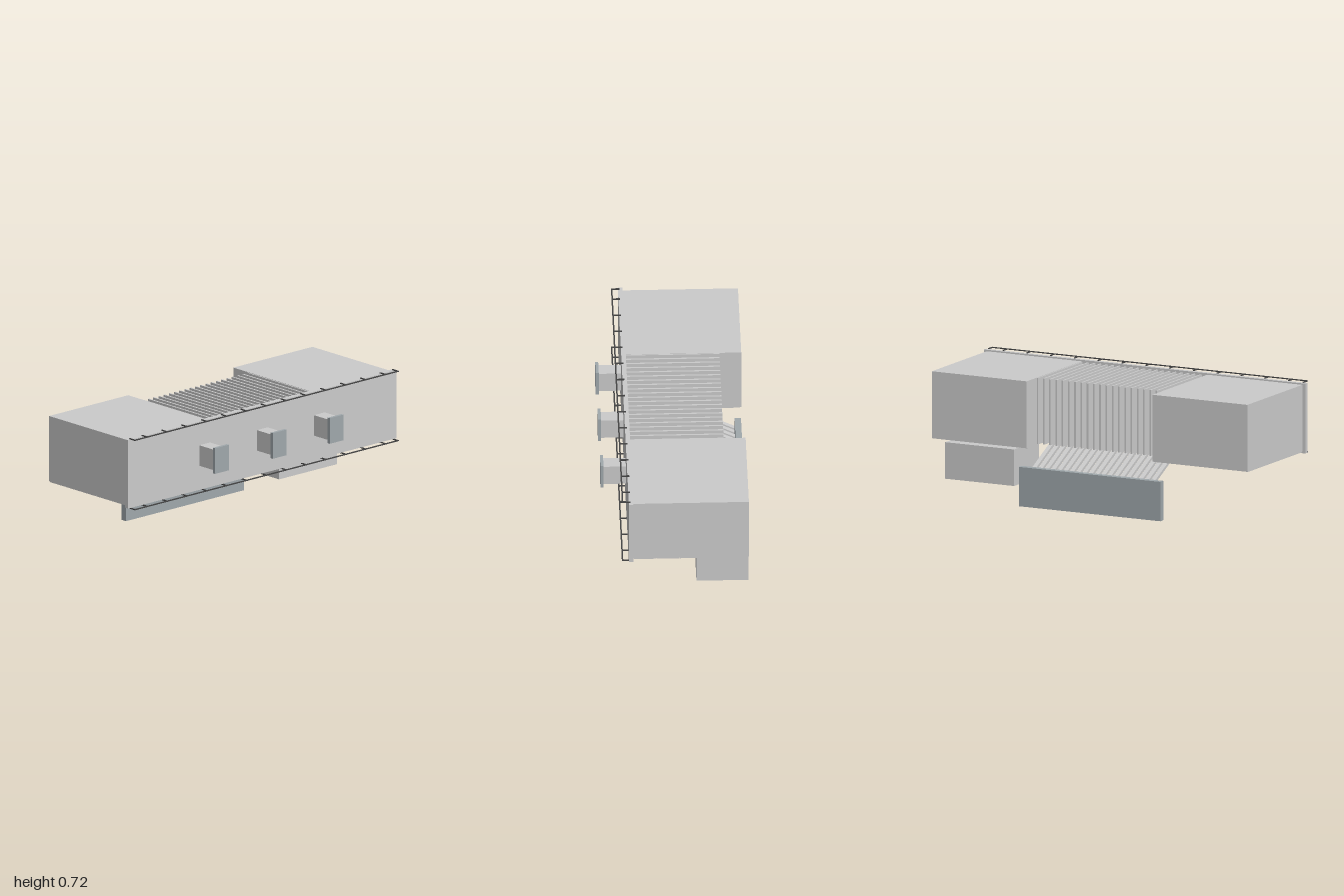
import * as THREE from 'three';

const material = (color) => new THREE.MeshStandardMaterial({ color });

export function createModel() {
  const model = new THREE.Group();
  const grey = material(0xcccccc);
  const steel = material(0xa0a8ac);
  const dark = material(0x444444);
  const green = material(0x6f9a84);

  // Box given by its extents along each axis
  const box = (name, [x0, x1], [y0, y1], [z0, z1], mat = grey, parent = model) => {
    const mesh = new THREE.Mesh(new THREE.BoxGeometry(x1 - x0, y1 - y0, z1 - z0), mat);
    mesh.position.set((x0 + x1) / 2, (y0 + y1) / 2, (z0 + z1) / 2);
    mesh.name = name;
    parent.add(mesh);
    return mesh;
  };
  const group = (name) => {
    const g = new THREE.Group();
    g.name = name;
    model.add(g);
    return g;
  };

  // Long front panel
  box('frontPanel', [-1, 1], [0.32, 0.71], [0.235, 0.26]);

  // Side housings with boards under each
  for (const [side, x0, x1] of [['left', 0.392, 0.982], ['right', -0.982, -0.392]]) {
    box(side + 'Housing', [x0, x1], [0.33, 0.702], [-0.398, 0.235]);
    const boards = group(side + 'FloorBoards');
    for (let i = 0; i < 5; i++) {
      const z = -0.39 + i * 0.125;
      box('floorBoard', [x0, x1], [0.326, 0.33], [z, z + 0.122], grey, boards);
    }
  }

  // Upright fins between the housings
  const fins = group('fins');
  for (let i = 0; i < 21; i++) {
    const x = -0.39 + i * 0.039;
    box('fin', [x - 0.005, x + 0.005], [0.332, 0.7], [-0.278, 0.235], grey, fins);
  }

  // Sloping slats running down to the rear plate
  const slats = group('slopingSlats');
  const slope = new THREE.Shape([
    new THREE.Vector2(0.02, 0.3625), new THREE.Vector2(0.36, 0.1925),
    new THREE.Vector2(0.36, 0.21), new THREE.Vector2(0.02, 0.38),
  ]);
  const slatGeometry = new THREE.ExtrudeGeometry(slope, { depth: 0.025, bevelEnabled: false });
  slatGeometry.rotateY(Math.PI / 2).translate(-0.0125, 0, 0);
  for (let i = 0; i < 20; i++) {
    const slat = new THREE.Mesh(slatGeometry, grey);
    slat.name = 'slat';
    slat.position.x = -0.3705 + i * 0.039;
    slats.add(slat);
  }

  // Green strip and dark bar below the fins
  box('greenStrip', [-0.392, 0.392], [0.34, 0.36], [-0.012, 0.1], green);
  box('darkBar', [-0.392, 0.392], [0.34, 0.385], [-0.022, -0.012], dark);

  // Rear hanging plate
  box('rearPlate', [-0.44, 0.44], [0, 0.22], [-0.398, -0.363], steel);

  // Lower box with vents on its underside
  box('lowerBox', [0.47, 0.9], [0.11, 0.314], [-0.398, -0.113]);
  const vents = group('vents');
  for (let i = 0; i < 6; i++) {
    const x = 0.535 + i * 0.054;
    box('vent', [x, x + 0.03], [0.104, 0.11], [-0.265, -0.205], green, vents);
  }

  // Three stubs with end plates on the front
  for (const x of [-0.43, 0, 0.425]) {
    box('stub', [x - 0.04, x + 0.04], [0.458, 0.575], [0.26, 0.383]);
    box('stubEndPlate', [x - 0.051, x + 0.051], [0.444, 0.59], [0.383, 0.4], steel);
  }

  // Thin rails with cross ties along the panel's top and bottom
  for (const [name, y] of [['topRail', 0.711], ['bottomRail', 0.315]]) {
    const rail = group(name);
    box('bar', [-0.984, 0.984], [y, y + 0.005], [0.29, 0.298], dark, rail);
    const ties = [-0.98, 0.98];
    for (let i = -6; i <= 6; i++) ties.push(i * 0.148);
    for (const x of ties) box('tie', [x - 0.004, x + 0.004], [y, y + 0.005], [0.25, 0.29], dark, rail);
  }

  return model;
}
